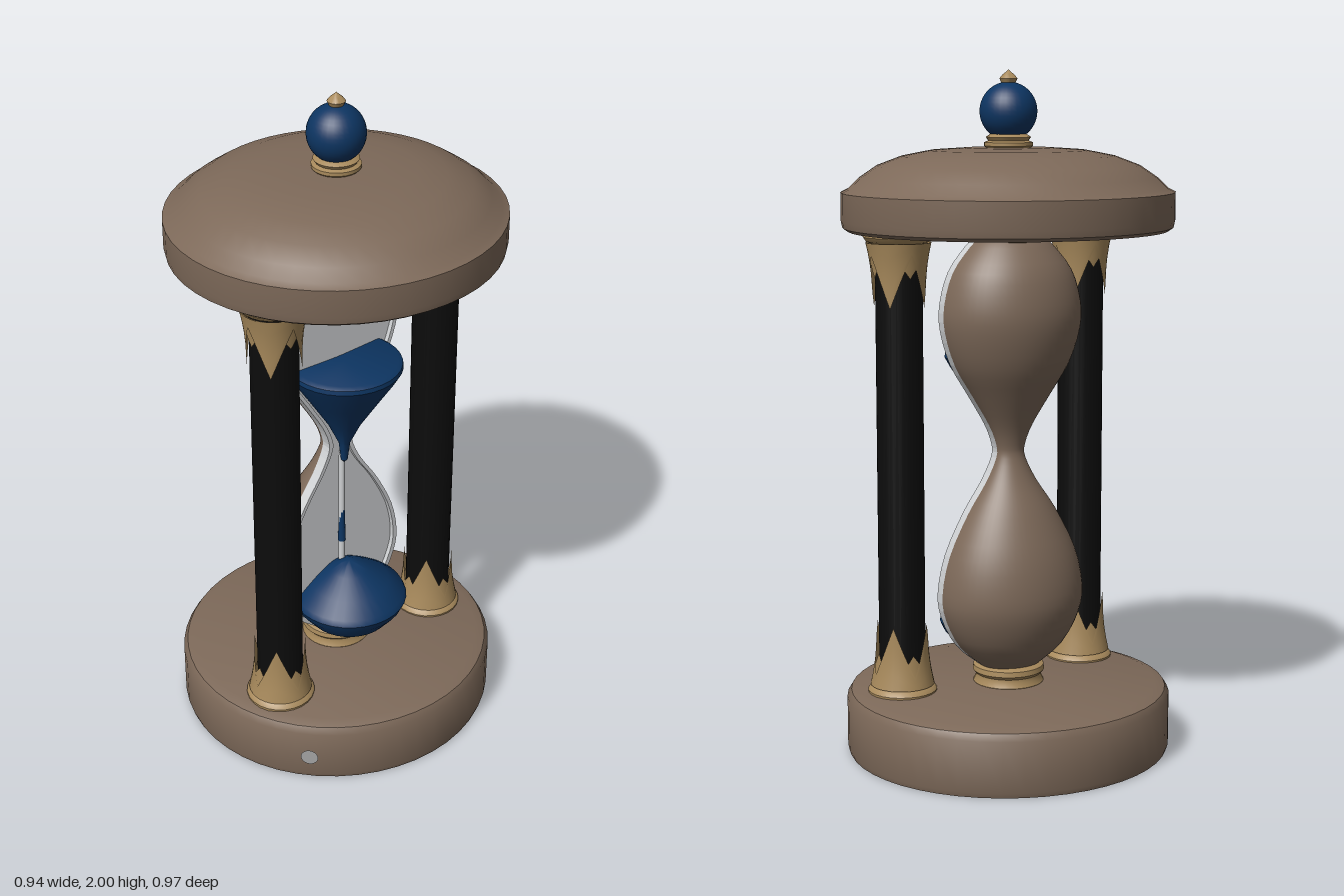
import * as THREE from 'three';
import { toCreasedNormals } from 'three/addons/utils/BufferGeometryUtils.js';

const mat = (name, color, side = THREE.FrontSide) => {
  const m = new THREE.MeshStandardMaterial({ color, side });
  m.name = name;
  return m;
};

export function createModel() {
  const model = new THREE.Group();
  model.name = 'hourglass';
  const wood = mat('brown wood', 0x7d6959, THREE.DoubleSide);
  const gold = mat('dull gold', 0xa88a5c, THREE.DoubleSide);
  const blue = mat('blue sand', 0x0d3562);
  const black = mat('black column', 0x0c0c0c);
  const glass = mat('pale glass', 0xd0d2d4, THREE.DoubleSide);
  const grey = mat('grey stud', 0xa4a4a4);

  const add = (name, geometry, material, parent = model, x = 0, y = 0, z = 0) => {
    const mesh = new THREE.Mesh(geometry, material);
    mesh.name = name;
    mesh.position.set(x, y, z);
    parent.add(mesh);
    return mesh;
  };
  const points = (pairs) => pairs.map(([r, y]) => new THREE.Vector2(r, y));
  const lathe = (pairs, sides = 32) =>
    toCreasedNormals(new THREE.LatheGeometry(points(pairs), sides), 0.6);

  // Hollow base and domed lid
  const base = add('base', lathe([[0, 0.185], [0.455, 0.185], [0.455, 0], [0.465, 0], [0.47, 0.015],
    [0.47, 0.165], [0.458, 0.185], [0.43, 0.195], [0, 0.2]], 48), wood);
  const lid = add('lid', lathe([[0, 1.545], [0.452, 1.545], [0.466, 1.555], [0.47, 1.575],
    [0.47, 1.655], [0.45, 1.665], [0.42, 1.695], [0.37, 1.73], [0.30, 1.757], [0.22, 1.773],
    [0.12, 1.78], [0, 1.78]], 48), wood);
  base.scale.z = lid.scale.z = 1.03;

  // Small stud on the base rim
  const a = Math.atan2(0.32, 0.354);
  const stud = add('baseStud', new THREE.CircleGeometry(0.026, 20), grey, model,
    0.483 * Math.sin(a), 0.085, 0.49 * Math.cos(a));
  stud.rotation.y = a;

  // Finial
  add('finialCollar', lathe([[0.06, 1.775], [0.07, 1.785], [0.07, 1.795], [0.058, 1.8], [0.065, 1.81],
    [0.05, 1.82], [0, 1.82]], 24), gold);
  add('finialBall', new THREE.SphereGeometry(0.083, 32, 20), blue, model, 0, 1.883, 0);
  add('finialTip', lathe([[0, 1.955], [0.018, 1.958], [0.026, 1.975], [0.018, 1.985], [0.008, 1.993],
    [0, 2]], 16), gold);

  // Sleeve of four pointed petals; low and high are the valley and tip heights
  const petals = (low, high, lift) => {
    const geo = new THREE.CylinderGeometry(1, 1, 1, 32, 4, true);
    const p = geo.attributes.position;
    for (let i = 0; i < p.count; i++) {
      const t = p.getY(i) + 0.5;
      const seg = i % 33;
      const angle = (seg / 32) * Math.PI * 2;
      const tip = 1 - Math.abs((seg % 8) - 4) / 4;
      const y = t * (low + (high - low) * tip);
      const r = 0.073 + lift + 0.018 * Math.max(0, 1 - y / 0.15) ** 2;
      p.setXYZ(i, r * Math.sin(angle), y, r * Math.cos(angle));
    }
    return toCreasedNormals(geo, 0.5);
  };
  const columnCap = (name) => {
    const cap = new THREE.Group();
    cap.name = name;
    add('capRing', lathe([[0, -0.03], [0.085, -0.03], [0.1, -0.015], [0.102, 0.002], [0.094, 0.014],
      [0.08, 0.02], [0, 0.02]], 24), gold, cap);
    add('longPetals', petals(0.035, 0.185, 0.003), gold, cap, 0, 0.018, 0);
    add('shortPetals', petals(0.02, 0.1, 0), gold, cap, 0, 0.018, 0).rotation.y = Math.PI / 4;
    return cap;
  };

  // Two columns
  for (const [side, x, z] of [['front', 0.13, 0.32], ['back', 0.065, -0.32]]) {
    const column = new THREE.Group();
    column.name = side + 'Column';
    column.position.set(x, 0, z);
    add('shaft', new THREE.CylinderGeometry(0.068, 0.068, 1.33, 24), black, column, 0, 0.87, 0);
    const low = columnCap('lowerCap');
    low.position.y = 0.2;
    const high = columnCap('upperCap');
    high.position.y = 1.535;
    high.rotation.x = Math.PI;
    column.add(low, high);
    model.add(column);
  }

  // Gold collars holding the glass
  add('lowerCollar', lathe([[0.08, 0.165], [0.098, 0.165], [0.105, 0.2], [0.098, 0.215], [0.098, 0.225],
    [0.107, 0.235], [0.105, 0.25], [0.09, 0.258], [0, 0.258]]), gold);
  add('upperCollar', lathe([[0, 1.48], [0.075, 1.482], [0.095, 1.495], [0.105, 1.515], [0.118, 1.522],
    [0.118, 1.548], [0, 1.548]]), gold);

  // Bulbs: half-round brown back shell closed by a flat pale pane with a raised rim
  const profile = new THREE.SplineCurve(points([[0.09, 0.255], [0.165, 0.32], [0.213, 0.41], [0.224, 0.49],
    [0.2, 0.6], [0.14, 0.72], [0.08, 0.81], [0.046, 0.88], [0.046, 0.92], [0.07, 0.98], [0.125, 1.07],
    [0.18, 1.16], [0.212, 1.26], [0.213, 1.34], [0.185, 1.43], [0.13, 1.5], [0.1, 1.525]])).getPoints(48);
  const outline = (inset) => [
    ...profile.map((v) => new THREE.Vector2(v.x - inset, v.y)),
    ...profile.map((v) => new THREE.Vector2(inset - v.x, v.y)).reverse(),
  ];
  const bulbs = new THREE.Group();
  bulbs.name = 'glassBulbs';
  const shell = add('backShell', new THREE.LatheGeometry(profile, 28, Math.PI, Math.PI), wood, bulbs, -0.01);
  shell.scale.x = 0.83;
  const pane = add('glassPane', new THREE.ShapeGeometry(new THREE.Shape(outline(0.013))), glass, bulbs, 0.008);
  const rimShape = new THREE.Shape(outline(0));
  const inner = outline(0.014);
  inner.forEach((v) => { v.y = 0.89 + (v.y - 0.89) * 0.99; });
  rimShape.holes.push(new THREE.Path(inner));
  const rim = add('glassRim', new THREE.ExtrudeGeometry(rimShape, { depth: 0.032, bevelEnabled: false }),
    glass, bulbs, -0.01);
  pane.rotation.y = rim.rotation.y = Math.PI / 2;
  model.add(bulbs);

  // Sand above, falling stream and heap below
  add('upperSand', lathe([[0, 0.84], [0.01, 0.85], [0.017, 0.91], [0.05, 0.98], [0.11, 1.075], [0.155, 1.145],
    [0.17, 1.172], [0.168, 1.185], [0.155, 1.193], [0, 1.187]]), blue, model, 0.038, 0, 0);
  add('streamTube', new THREE.CylinderGeometry(0.009, 0.01, 0.4, 10), glass, model, 0.026, 0.67, 0);
  add('fallingSand', new THREE.CylinderGeometry(0.007, 0.012, 0.16, 10), blue, model, 0.027, 0.63, 0);
  add('lowerSand', lathe([[0, 0.258], [0.07, 0.265], [0.125, 0.295], [0.165, 0.345], [0.176, 0.37],
    [0.168, 0.388], [0.12, 0.425], [0.06, 0.468], [0.025, 0.488], [0, 0.495]]), blue, model, 0.064, 0, 0);

  return model;
}
